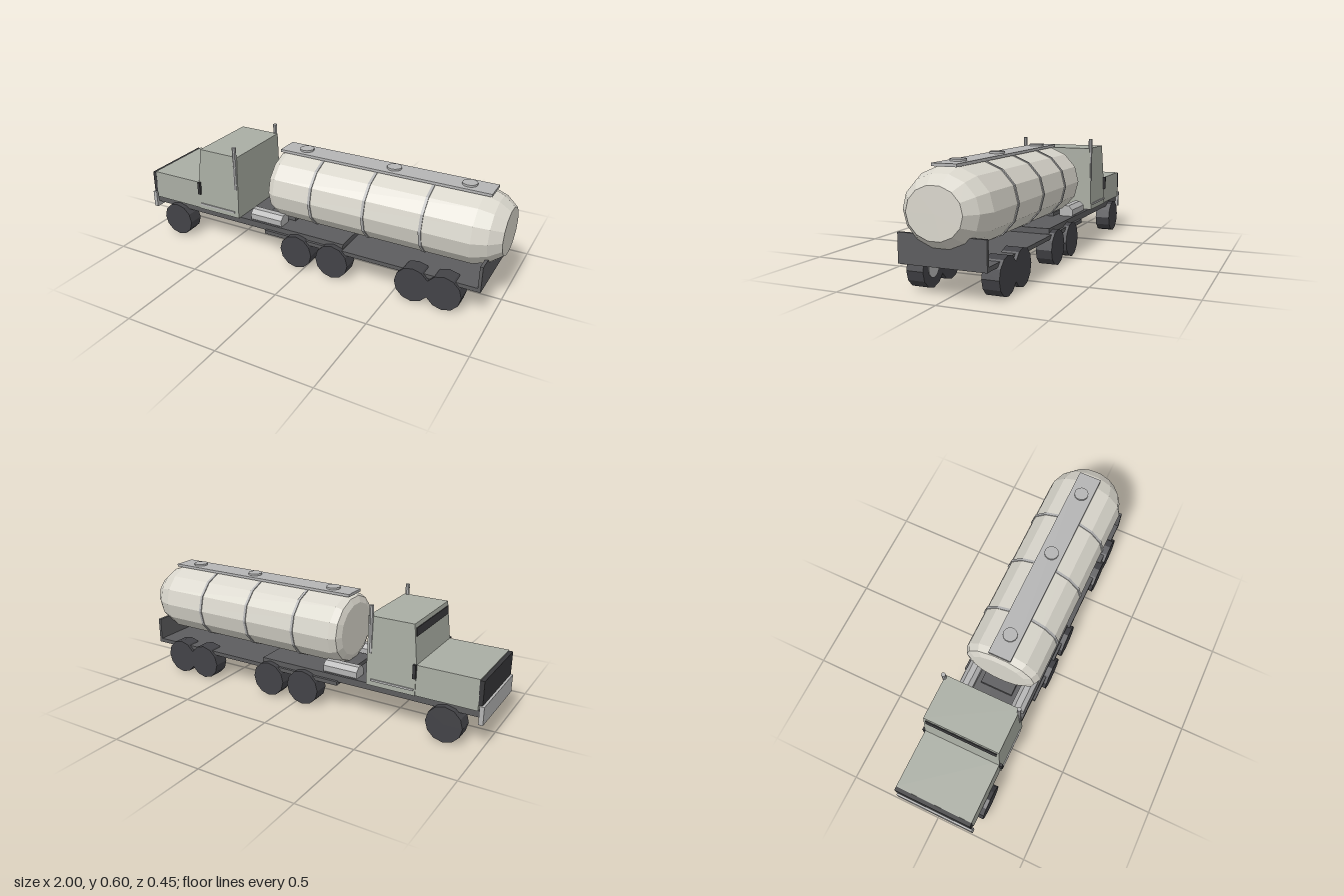
import * as THREE from 'three';

export function createModel() {
  const truck = new THREE.Group();
  truck.name = 'tankerTruck';

  const mat = (color) => new THREE.MeshStandardMaterial({ color, flatShading: true });
  const paint = mat(0xa9ada3), steel = mat(0xd9d6cc), dark = mat(0x5c5c5e);
  const rubber = mat(0x434347), black = mat(0x38383a), silver = mat(0xb4b4b4);

  const add = (name, geometry, material, x = 0, y = 0, z = 0) => {
    const mesh = new THREE.Mesh(geometry, material);
    mesh.name = name;
    mesh.position.set(x, y, z);
    truck.add(mesh);
    return mesh;
  };
  // Box given by its limits in x and y, and its limits in z
  const box = (name, material, x0, x1, y0, y1, z0, z1) =>
    add(name, new THREE.BoxGeometry(x1 - x0, y1 - y0, z1 - z0), material,
      (x0 + x1) / 2, (y0 + y1) / 2, (z0 + z1) / 2);
  // Side profile extruded across the width, narrowing towards the roof
  const profile = (name, points, half, taper) => {
    const g = new THREE.ExtrudeGeometry(new THREE.Shape(points.map(p => new THREE.Vector2(...p))),
      { depth: 2 * half, bevelEnabled: false });
    g.translate(0, 0, -half);
    const p = g.attributes.position;
    for (let i = 0; i < p.count; i++)
      p.setZ(i, p.getZ(i) * (1 - taper * (p.getY(i) - 0.195)));
    g.computeVertexNormals();
    return add(name, g, paint);
  };

  // Frames
  box('truckFrame', dark, -0.98, 0.22, 0.16, 0.195, -0.197, 0.197);
  box('trailerFrame', dark, -0.24, 0.945, 0.145, 0.166, -0.211, 0.211);
  box('rearPlate', dark, 0.93, 0.945, 0.145, 0.283, -0.212, 0.212);
  box('couplingPlate', dark, -0.28, -0.12, 0.195, 0.215, -0.09, 0.09);

  // Hood and cab
  profile('hood', [[-0.97, 0.195], [-0.64, 0.195], [-0.64, 0.35], [-0.97, 0.35]], 0.208, 0.06);
  profile('cab', [[-0.663, 0.195], [-0.405, 0.195], [-0.405, 0.547], [-0.642, 0.547], [-0.663, 0.35]], 0.213, 0.16);
  box('grille', black, -0.99, -0.968, 0.225, 0.345, -0.207, 0.207);
  box('bumper', silver, -1, -0.978, 0.13, 0.222, -0.212, 0.212);
  const windshield = box('windshield', black, -0.651, -0.643, 0.485, 0.525, -0.19, 0.19);
  windshield.rotation.z = -0.106;

  // Tank, a slightly flattened lathe along x
  const round = (points) => new THREE.LatheGeometry(points.map(p => new THREE.Vector2(...p)), 14)
    .rotateZ(-Math.PI / 2).scale(1, 0.885, 1);
  const tankY = 0.384;
  add('tank', round([[0, -0.235], [0.155, -0.235], [0.192, -0.22], [0.21, -0.185],
    [0.21, 0.87], [0.182, 0.943], [0.133, 1], [0, 1]]), steel, 0, tankY);
  for (const x of [0.03, 0.327, 0.627])
    add('tankBand', round([[0.2, x - 0.007], [0.215, x - 0.007], [0.215, x + 0.007], [0.2, x + 0.007]]),
      silver, 0, tankY);

  // Walkway and hatches
  box('walkway', silver, -0.22, 0.91, 0.566, 0.58, -0.06, 0.06);
  for (const x of [-0.095, 0.4, 0.785])
    add('hatch', new THREE.CylinderGeometry(0.037, 0.037, 0.012, 14), silver, x, 0.584);

  // Parts mirrored on both sides
  for (const s of [1, -1]) {
    for (const x of [-0.82, -0.043, 0.168, 0.61, 0.77]) {
      add('wheel', new THREE.CylinderGeometry(0.092, 0.092, 0.084, 12).rotateX(Math.PI / 2),
        rubber, x, 0.093, s * 0.184);
      add('innerHub', new THREE.CylinderGeometry(0.045, 0.045, 0.01, 12).rotateX(Math.PI / 2),
        silver, x, 0.093, s * 0.144);
    }
    add('fuelTank', new THREE.CylinderGeometry(0.04, 0.04, 0.19, 8).rotateY(Math.PI / 8).rotateZ(Math.PI / 2),
      silver, -0.245, 0.215, s * 0.152);
    add('exhaustStack', new THREE.CylinderGeometry(0.011, 0.011, 0.24, 8), silver, -0.42, 0.48, s * 0.201);
    box('mirror', black, -0.665, -0.65, 0.284, 0.354, s * 0.213 - 0.009, s * 0.213 + 0.009);
    box('step', silver, -0.655, -0.43, 0.22, 0.23, s * 0.211 - 0.007, s * 0.211 + 0.007);
  }
  return truck;
}
